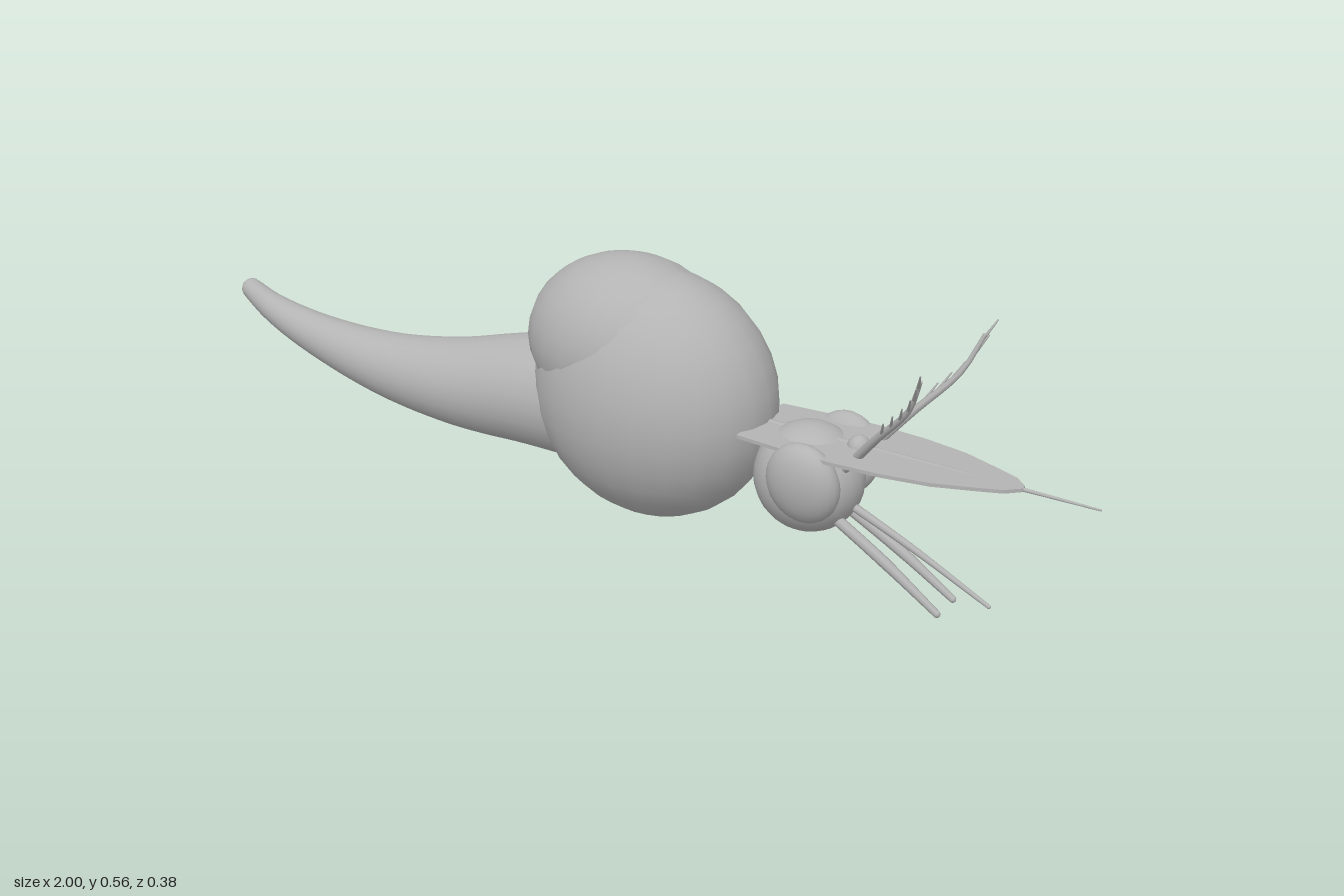
import * as THREE from 'three';

const grey = new THREE.MeshStandardMaterial({ color: 0xb3b3b3 });
grey.name = 'grey';
const vec = (p) => new THREE.Vector3(...p);

export function createModel() {
  const model = new THREE.Group();
  model.name = 'insect';

  function add(name, geometry) {
    const mesh = new THREE.Mesh(geometry, grey);
    mesh.name = name;
    model.add(mesh);
    return mesh;
  }

  function ellipsoid(name, centre, radii, w = 24, h = 16) {
    const mesh = add(name, new THREE.SphereGeometry(1, w, h));
    mesh.position.set(...centre);
    mesh.scale.set(...radii);
    return mesh;
  }

  // Tube along a smooth path, its radius interpolated from evenly spaced values, with closed ends
  function taperTube(name, points, radii, segments = 12, sides = 8) {
    const curve = new THREE.CatmullRomCurve3(points.map(vec));
    const geo = new THREE.TubeGeometry(curve, segments, 1, sides);
    const pos = geo.attributes.position;
    const p = new THREE.Vector3();
    for (let i = 0; i <= segments; i++) {
      const u = i / segments;
      const centre = curve.getPointAt(u);
      const t = u * (radii.length - 1);
      const k = Math.min(Math.floor(t), radii.length - 2);
      const r = THREE.MathUtils.lerp(radii[k], radii[k + 1], t - k);
      for (let j = 0; j <= sides; j++) {
        const n = i * (sides + 1) + j;
        p.fromBufferAttribute(pos, n).sub(centre).multiplyScalar(r).add(centre);
        pos.setXYZ(n, p.x, p.y, p.z);
      }
    }
    add(name, geo);
    [[0, radii[0]], [1, radii[radii.length - 1]]].forEach(([u, r]) => {
      const c = curve.getPointAt(u);
      ellipsoid(name + 'End', [c.x, c.y, c.z], [r, r, r], sides, 6);
    });
    return curve;
  }

  // Thorax with the raised hump on its back
  ellipsoid('thorax', [0.085, 0.29, 0], [0.257, 0.252, 0.192]);
  ellipsoid('thoraxHump', [0.025, 0.385, 0], [0.213, 0.173, 0.168]);

  // Abdomen, curving up to a blunt tip
  taperTube('abdomen',
    [[-0.06, 0.245, 0], [-0.2, 0.228, 0], [-0.4, 0.198, 0], [-0.6, 0.193, 0],
      [-0.8, 0.22, 0], [-0.92, 0.255, 0], [-0.977, 0.285, 0]],
    [0.13, 0.118, 0.106, 0.092, 0.078, 0.064, 0.05, 0.037, 0.023], 32, 24);

  // Head
  ellipsoid('head', [0.43, 0.2, 0], [0.108, 0.108, 0.1]);

  // Flat leaf-shaped plate over the head, with a needle along its middle
  const half = [[0.32, 0.088], [0.42, 0.096], [0.52, 0.099], [0.62, 0.092],
    [0.71, 0.076], [0.78, 0.05], [0.83, 0.03], [0.855, 0.006]];
  const leaf = new THREE.Shape([...half, ...half.slice().reverse().map(([x, z]) => [x, -z])]
    .map(([x, z]) => new THREE.Vector2(x, z)));
  const plate = add('plate', new THREE.ExtrudeGeometry(leaf, { depth: 0.007, bevelEnabled: false }));
  plate.rotation.x = -Math.PI / 2;
  plate.position.y = 0.2815;
  taperTube('needle', [[0.31, 0.285, 0], [0.65, 0.285, 0], [0.998, 0.283, 0]],
    [0.009, 0.007, 0.005, 0.002]);
  ellipsoid('browBead', [0.53, 0.284, 0], [0.022, 0.023, 0.024], 16, 12);

  // Mouthpart on the midline
  taperTube('proboscis', [[0.48, 0.178, 0], [0.65, 0.108, 0], [0.808, 0.034, 0]],
    [0.009, 0.007, 0.004]);

  for (const s of [1, -1]) {
    const side = s > 0 ? 'right' : 'left';

    // Eye, leaning outward at the top
    const eye = ellipsoid(side + 'Eye', [0.46, 0.224, s * 0.082], [0.075, 0.082, 0.041]);
    eye.rotation.x = s * 0.12;

    // Palp
    taperTube(side + 'Palp',
      [[0.49, 0.147, s * 0.026], [0.61, 0.08, s * 0.031], [0.722, 0.008, s * 0.034]],
      [0.011, 0.011, 0.007]);

    // Antenna with outward bristles
    const antenna = taperTube(side + 'Antenna',
      [[0.52, 0.25, s * 0.03], [0.6, 0.345, s * 0.072],
        [0.675, 0.43, s * 0.107], [0.705, 0.5, s * 0.132]],
      [0.009, 0.008, 0.006, 0.004]);
    for (let i = 0; i < 6; i++) {
      const a = antenna.getPointAt(0.45 + i * 0.1);
      const b = a.clone().add(new THREE.Vector3(0.018, 0.038, s * 0.033));
      taperTube(side + 'Bristle', [a.toArray(), b.toArray()], [0.004, 0.0015], 2, 5);
    }
  }
  return model;
}
